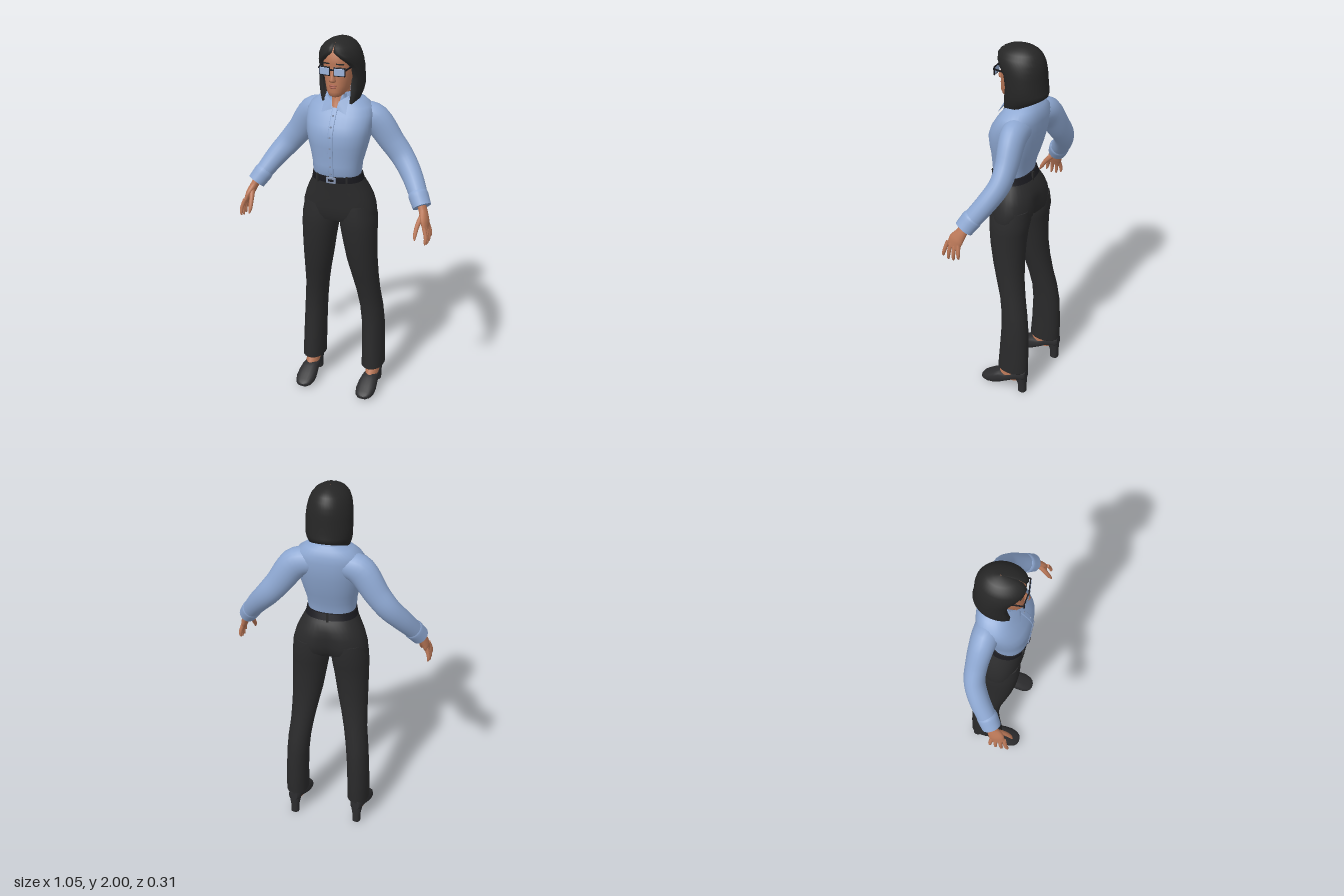
import * as THREE from 'three';
import { RoundedBoxGeometry } from 'three/addons/geometries/RoundedBoxGeometry.js';

const V = (x, y, z) => new THREE.Vector3(x, y, z);
const paint = (name, color, side = THREE.FrontSide) =>
  Object.assign(new THREE.MeshStandardMaterial({ color, side }), { name });

// Joins rows of points into one smooth surface; closed rows wrap round and get end caps.
function skin(rows, closed = true) {
  const n = rows[0].length, pos = [], idx = [];
  rows.forEach(r => r.forEach(p => pos.push(p.x, p.y, p.z)));
  for (let i = 0; i < rows.length - 1; i++) {
    for (let j = 0; j < (closed ? n : n - 1); j++) {
      const k = (j + 1) % n, a = i * n + j, b = i * n + k;
      idx.push(a, b, a + n, b, b + n, a + n);
    }
  }
  if (closed) {
    [0, rows.length - 1].forEach(i => {
      const start = pos.length / 3, mid = V(0, 0, 0);
      rows[i].forEach(p => { mid.addScaledVector(p, 1 / n); pos.push(p.x, p.y, p.z); });
      pos.push(mid.x, mid.y, mid.z);
      for (let j = 0; j < n; j++) {
        const a = start + j, b = start + (j + 1) % n;
        if (i) idx.push(a, b, start + n); else idx.push(b, a, start + n);
      }
    });
  }
  const g = new THREE.BufferGeometry();
  g.setAttribute('position', new THREE.Float32BufferAttribute(pos, 3));
  g.setIndex(idx);
  g.computeVertexNormals();
  return g;
}

// Horizontal sections, bottom to top: [y, half width, front z, back z, centre x, back cleft].
function body(sections, power = 2.2, n = 36) {
  const e = 2 / power, pw = v => Math.sign(v) * Math.abs(v) ** e;
  return skin(sections.map(([y, w, f, b, cx = 0, cleft = 0]) =>
    Array.from({ length: n }, (_, j) => {
      const t = j / n * Math.PI * 2, x = w * pw(Math.sin(t)), c = pw(Math.cos(t));
      const dent = c < 0 ? 1 - cleft * Math.exp(-((x / 0.04) ** 2)) : 1;
      return V(cx + x, y, (f + b) / 2 + (f - b) / 2 * c * dent);
    })));
}

// Sections along a curve: [x, y, z, radius across, radius in depth].
function limb(pts, steps = 18, n = 18) {
  const curve = new THREE.CatmullRomCurve3(pts.map(p => V(p[0], p[1], p[2])));
  const rows = [];
  for (let i = 0; i <= steps; i++) {
    const u = i / steps, s = u * (pts.length - 1), k = Math.min(Math.floor(s), pts.length - 2);
    const r1 = THREE.MathUtils.lerp(pts[k][3], pts[k + 1][3], s - k);
    const r2 = THREE.MathUtils.lerp(pts[k][4], pts[k + 1][4], s - k);
    const c = curve.getPoint(u), T = curve.getTangent(u);
    const N = T.clone().cross(V(0, 0, 1)).normalize(), B = T.clone().cross(N);
    rows.push(Array.from({ length: n }, (_, j) => {
      const t = j / n * Math.PI * 2;
      return c.clone().addScaledVector(N, r1 * Math.cos(t)).addScaledVector(B, r2 * Math.sin(t));
    }));
  }
  return skin(rows);
}

// Sections open at the front: [y, half width, front z, back z, opening angle, lift at the back].
function openShell(sections, tuck, n = 40) {
  return skin(sections.map(([y, w, f, b, open, lift = 0]) =>
    Array.from({ length: n + 1 }, (_, j) => {
      const t = open + (2 * Math.PI - 2 * open) * j / n;
      const k = j === 0 || j === n ? tuck : 1;
      return V(w * k * Math.sin(t), y + lift * (1 - Math.cos(t)) / 2,
        (f + b) / 2 + (f - b) / 2 * k * Math.cos(t));
    })), false);
}

export function createModel() {
  const model = new THREE.Group();
  const mat = {
    shirt: paint('shirt blue', 0x8ea8d2, THREE.DoubleSide),
    trousers: paint('trouser black', 0x2a2a2b),
    hair: paint('hair black', 0x262626, THREE.DoubleSide),
    skin: paint('skin', 0xbb7858),
    lips: paint('lips', 0xa65d4c),
    shoe: paint('shoe black', 0x2d2d2f),
    frame: paint('dark frame', 0x1b1b20),
    lens: paint('lens blue', 0x9db4da),
    buckle: paint('buckle grey', 0x8290ab)
  };
  const add = (parent, name, geo, m, x = 0, y = 0, z = 0) => {
    const mesh = new THREE.Mesh(geo, m);
    mesh.name = name;
    mesh.position.set(x, y, z);
    parent.add(mesh);
    return mesh;
  };

  // Shirt
  const torso = [[1.29, .122, .118, -.058], [1.32, .127, .13, -.063], [1.36, .13, .133, -.073],
    [1.41, .142, .134, -.09], [1.46, .155, .14, -.105], [1.52, .168, .142, -.12],
    [1.57, .174, .124, -.128], [1.62, .176, .092, -.131], [1.655, .16, .066, -.127],
    [1.685, .12, .046, -.115], [1.705, .075, .03, -.095]];
  add(model, 'shirt', body(torso, 2.35), mat.shirt);
  add(model, 'placket', body(torso.slice(0, 9).map(([y, , f]) => [y, .014, f + .004, f - .02]), 6, 24), mat.shirt);
  torso.slice(1, 8).forEach(([y, , f]) => {
    const b = add(model, 'button', new THREE.CylinderGeometry(.005, .005, .004, 10), mat.buckle, 0, y, f + .005);
    b.rotation.x = Math.PI / 2;
  });
  add(model, 'collarBand', openShell([[1.66, .075, .07, -.1, .3], [1.70, .066, .06, -.092, .35],
    [1.73, .06, .045, -.085, .5], [1.69, .074, .06, -.102, .5]], 1, 28), mat.shirt);

  // Neck and head
  add(model, 'neck', body([[1.63, .05, .08, -.07], [1.67, .048, .064, -.075], [1.71, .046, .042, -.072],
    [1.78, .046, .04, -.07]], 2, 24), mat.skin);
  add(model, 'head', body([[1.715, .024, .085, .01], [1.724, .038, .097, -.02], [1.745, .052, .103, -.05],
    [1.775, .063, .1, -.08], [1.81, .071, .099, -.095], [1.85, .077, .095, -.1], [1.89, .08, .1, -.1],
    [1.925, .077, .098, -.098], [1.955, .06, .08, -.085], [1.975, .03, .04, -.05]], 2.2), mat.skin);
  add(model, 'nose', body([[1.796, .011, .108, .08], [1.802, .018, .121, .08], [1.812, .015, .125, .08],
    [1.835, .009, .112, .08], [1.868, .008, .098, .08]], 2, 16), mat.skin);
  [[1.778, .02], [1.768, .017]].forEach(([y, w]) =>
    add(model, 'lip', new THREE.SphereGeometry(1, 14, 8), mat.lips, 0, y, .099).scale.set(w, .006, .009));

  // Bobbed hair: inner lining first, then the outside up to the crown
  add(model, 'hair', openShell([[1.80, .09, .05, -.11, .95], [1.70, .088, .07, -.12, .95, .06],
    [1.632, .092, .08, -.135, .84, .11], [1.645, .1, .087, -.15, .78, .1], [1.69, .111, .084, -.152, .76, .07],
    [1.74, .117, .08, -.15, .8, .03], [1.80, .118, .074, -.145, .85], [1.86, .116, .082, -.141, .8],
    [1.89, .113, .1, -.139, .62], [1.92, .107, .113, -.134, .36], [1.948, .096, .113, -.124, .06],
    [1.97, .079, .096, -.108, .01], [1.987, .055, .065, -.085, .005], [1.997, .028, .025, -.055, .005],
    [2, .002, -.015, -.02, .005]], .9), mat.hair);

  // Belt and buckle
  add(model, 'belt', body([[1.268, .137, .125, -.08], [1.285, .133, .127, -.074], [1.302, .13, .126, -.068]], 2.3), mat.frame);
  add(model, 'buckle', new RoundedBoxGeometry(.052, .034, .008, 2, .003), mat.buckle, 0, 1.284, .129);
  add(model, 'buckleCentre', new THREE.BoxGeometry(.03, .012, .004), mat.frame, 0, 1.284, .133);
  add(model, 'beltLoop', new THREE.BoxGeometry(.012, .05, .008), mat.trousers, 0, 1.285, -.078);

  // Seat of the trousers
  add(model, 'hips', body([[1.045, .195, .095, -.095, 0, .35], [1.075, .2, .107, -.115, 0, .28],
    [1.12, .196, .112, -.121, 0, .2], [1.17, .182, .114, -.117, 0, .1], [1.21, .165, .115, -.107],
    [1.25, .145, .117, -.088], [1.285, .128, .119, -.066], [1.3, .122, .118, -.058]], 2.3), mat.trousers);

  // Glasses bridge
  add(model, 'glassesBridge', new THREE.BoxGeometry(.022, .007, .006), mat.frame, 0, 1.864, .116);

  // Paired parts, made for the left and mirrored to the right
  for (const s of [1, -1]) {
    const half = new THREE.Group();
    half.name = s > 0 ? 'leftSide' : 'rightSide';
    half.scale.x = s;
    model.add(half);

    // Collar flap
    const flap = [V(.012, 1.652, .084), V(.066, 1.632, .092), V(.02, 1.69, .072), V(.062, 1.715, .036)];
    add(half, 'collarFlap', skin([[flap[0], flap[1]], [flap[2], flap[3]]], false), mat.shirt);

    // Sleeve and cuff
    add(half, 'sleeve', limb([[.09, 1.598, -.05, .07, .07], [.165, 1.578, -.062, .08, .067],
      [.255, 1.46, -.078, .068, .056], [.315, 1.385, -.076, .063, .053], [.375, 1.31, -.042, .056, .052],
      [.432, 1.225, .012, .047, .049], [.455, 1.188, .036, .044, .048]], 28, 22), mat.shirt);
    add(half, 'cuff', limb([[.424, 1.237, .006, .047, .049], [.432, 1.224, .014, .052, .054],
      [.462, 1.176, .042, .048, .05]], 6, 22), mat.shirt);

    // Hand
    add(half, 'palm', limb([[.452, 1.195, .035, .022, .028], [.472, 1.155, .05, .021, .03],
      [.488, 1.115, .072, .02, .041], [.5, 1.075, .085, .013, .038]], 12, 16), mat.skin);
    for (let i = 0; i < 4; i++) {
      const z = .116 - i * .021, drop = [.01, 0, .003, .018][i];
      add(half, 'finger', limb([[.498, 1.095, z, .011, .011], [.512, 1.05, z + .012 - i * .006, .01, .01],
        [.513, 1.012 + drop, z + .02 - i * .009, .008, .008],
        [.51, 1.0 + drop, z + .022 - i * .01, .003, .003]], 9, 10), mat.skin);
    }
    add(half, 'thumb', limb([[.475, 1.145, .065, .015, .016], [.462, 1.1, .11, .012, .013],
      [.458, 1.055, .138, .01, .01], [.46, 1.032, .15, .004, .004]], 9, 10), mat.skin);

    // Flared trouser leg
    add(half, 'trouserLeg', body([[.135, .058, .022, -.146, .175], [.14, .061, .026, -.151, .175],
      [.25, .06, .016, -.152, .174], [.4, .06, .006, -.148, .169], [.5, .061, .008, -.135, .161],
      [.6, .063, .024, -.115, .148], [.7, .071, .05, -.1, .136], [.8, .081, .075, -.092, .124],
      [.92, .091, .096, -.095, .114], [1.0, .098, .104, -.102, .107], [1.06, .1, .107, -.114, .102],
      [1.13, .088, .1, -.11, .098]], 2.1, 28), mat.trousers);
    const loop = add(half, 'beltLoop', new THREE.BoxGeometry(.012, .045, .008), mat.trousers, .08, 1.285, .116);
    loop.rotation.y = .4;

    // Ankle, heeled shoe
    add(half, 'ankle', body([[.07, .035, .03, -.11, .178], [.105, .036, .018, -.105, .178],
      [.13, .034, -.005, -.11, .178], [.17, .033, -.02, -.11, .178]], 2, 20), mat.skin);
    const shoe = [[-.15, .095, .15, .018], [-.14, .085, .155, .032], [-.11, .08, .148, .037],
      [-.07, .064, .122, .038], [-.03, .04, .102, .041], [.01, .016, .103, .047], [.04, .003, .09, .052],
      [.08, 0, .064, .053], [.11, .002, .044, .044], [.126, .005, .033, .03], [.133, .01, .024, .012]];
    add(half, 'shoe', skin(shoe.map(([z, lo, hi, w]) => Array.from({ length: 20 }, (_, j) => {
      const t = j / 20 * Math.PI * 2, q = v => Math.sign(v) * Math.abs(v) ** .8;
      return V(.178 + w * q(Math.cos(t)), (lo + hi) / 2 + (hi - lo) / 2 * q(Math.sin(t)), z);
    }))), mat.shoe);
    add(half, 'heel', body([[0, .022, -.102, -.147, .178], [.05, .023, -.1, -.148, .178],
      [.11, .034, -.075, -.15, .178]], 2.5, 18), mat.shoe);

    // Glasses and brow
    add(half, 'glassesFrame', new RoundedBoxGeometry(.061, .047, .006, 3, .0029), mat.frame, .039, 1.856, .111).rotation.y = .12;
    add(half, 'lens', new RoundedBoxGeometry(.053, .038, .008, 3, .0035), mat.lens, .039, 1.855, .1115).rotation.y = .12;
    add(half, 'glassesTemple', new THREE.BoxGeometry(.005, .008, .11), mat.frame, .076, 1.868, .055).rotation.y = -.08;
    const brow = add(half, 'brow', new THREE.BoxGeometry(.04, .006, .006), mat.hair, .036, 1.889, .092);
    brow.rotation.set(0, .35, -.08);
  }
  return model;
}
